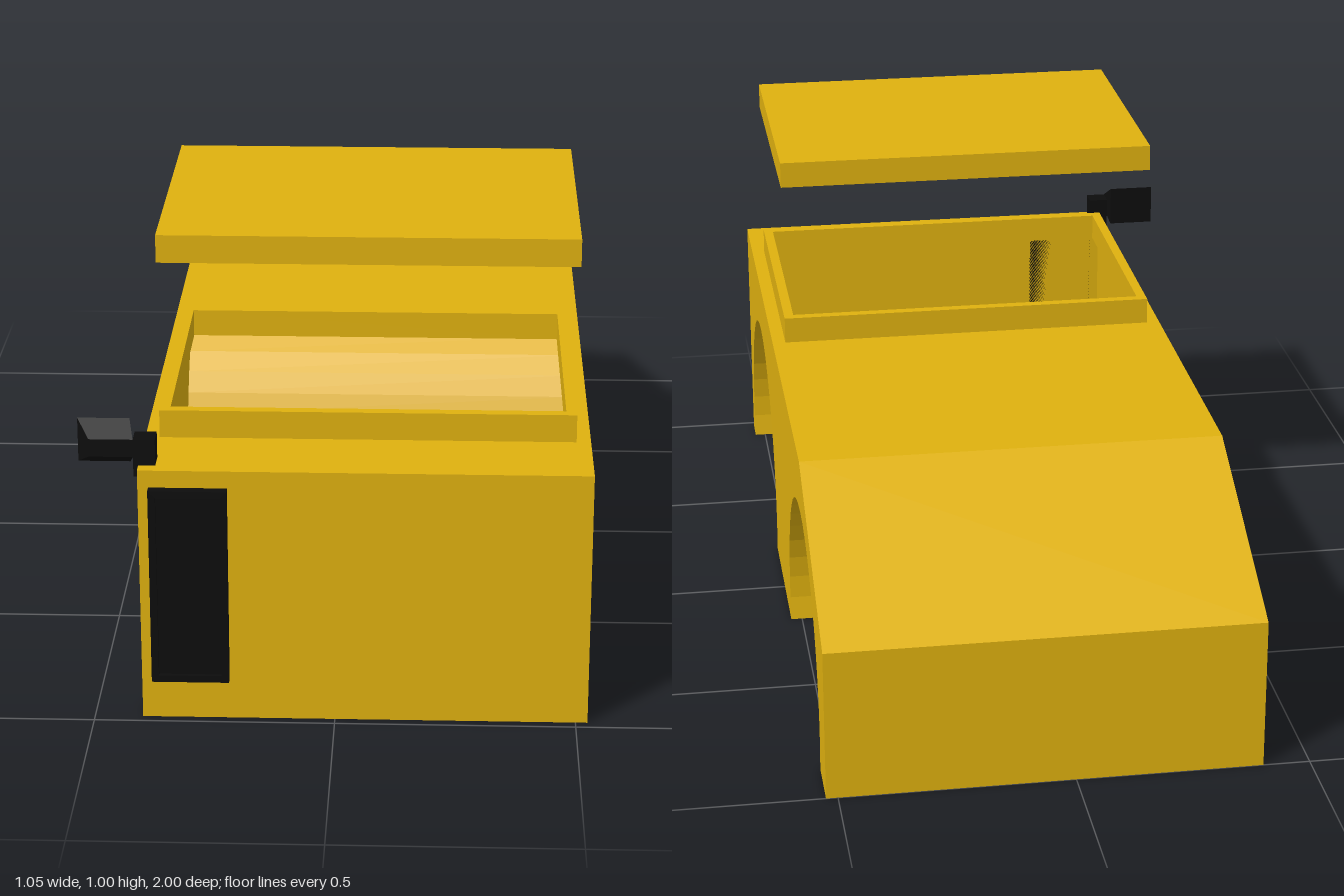
import * as THREE from 'three';

const yellow = new THREE.MeshStandardMaterial({ color: 0xdfb10f, side: THREE.DoubleSide });
yellow.name = 'yellow paint';
const black = new THREE.MeshStandardMaterial({ color: 0x0d0d0d });
black.name = 'black trim';

const X0 = -0.4, X1 = 0.525, DECK = 0.555;
const HATCH = { x0: -0.37, x1: 0.495, z0: 0.165, z1: 0.8, wall: 0.022 };

function add(parent, name, geometry, material) {
  const mesh = new THREE.Mesh(geometry, material);
  mesh.name = name;
  parent.add(mesh);
  return mesh;
}

function box(x0, x1, y0, y1, z0, z1) {
  return new THREE.BoxGeometry(x1 - x0, y1 - y0, z1 - z0)
    .translate((x0 + x1) / 2, (y0 + y1) / 2, (z0 + z1) / 2);
}

function rect(Type, x0, x1, y0, y1) {
  return new Type([[x0, y0], [x1, y0], [x1, y1], [x0, y1]].map(p => new THREE.Vector2(...p)));
}

// Rectangle with a rectangular hole inset by t
function ring(x0, x1, y0, y1, t) {
  const shape = rect(THREE.Shape, x0, x1, y0, y1);
  shape.holes.push(rect(THREE.Path, x0 + t, x1 - t, y0 + t, y1 - t));
  return shape;
}

// Upright wall following the hatch outline
function hatchWall(y, height) {
  const { x0, x1, z0, z1, wall } = HATCH;
  return new THREE.ExtrudeGeometry(ring(x0, x1, -z1, -z0, wall), { depth: height, bevelEnabled: false })
    .rotateX(-Math.PI / 2).translate(0, y, 0);
}

// Wheel arch points from rear to front, as (z, y)
function arch(cz) {
  const r = 0.36, cy = 0.075, n = 24, drop = Math.asin(cy / r);
  return Array.from({ length: n + 1 }, (_, i) => {
    const a = Math.PI + drop - (i / n) * (Math.PI + 2 * drop);
    return new THREE.Vector2(cz + r * Math.cos(a), cy + r * Math.sin(a));
  });
}

// Flat strips across the body between neighbouring outline points
function skin(points, skip) {
  const pos = [];
  points.forEach((a, i) => {
    if (i === skip) return;
    const b = points[(i + 1) % points.length];
    pos.push(X1, a.y, a.x, X1, b.y, b.x, X0, b.y, b.x);
    pos.push(X1, a.y, a.x, X0, b.y, b.x, X0, a.y, a.x);
  });
  const g = new THREE.BufferGeometry();
  g.setAttribute('position', new THREE.Float32BufferAttribute(pos, 3));
  g.computeVertexNormals();
  return g;
}

export function createModel() {
  const model = new THREE.Group();
  model.name = 'hollowVehicleBody';

  // Hollow body: side panels, wrapped skin and deck with an opening
  const body = new THREE.Group();
  body.name = 'body';
  model.add(body);
  const v = (z, y) => new THREE.Vector2(z, y);
  const outline = [v(-1, 0), ...arch(-0.525), ...arch(0.565),
    v(0.98, 0), v(0.98, DECK), v(-0.53, DECK), v(-1, 0.335)];
  const side = new THREE.ShapeGeometry(new THREE.Shape(outline)).rotateY(-Math.PI / 2);
  add(body, 'rightSide', side, yellow).position.x = X0;
  add(body, 'leftSide', side, yellow).position.x = X1;
  add(body, 'skin', skin(outline, outline.length - 3), yellow);

  const { x0, x1, z0, z1, wall } = HATCH;
  const deck = rect(THREE.Shape, X0, X1, -0.98, 0.53);
  deck.holes.push(rect(THREE.Path, x0 + wall, x1 - wall, -z1 + wall, -z0 - wall));
  add(body, 'deck', new THREE.ShapeGeometry(deck).rotateX(-Math.PI / 2).translate(0, DECK, 0), yellow);
  add(body, 'hatchRim', hatchWall(DECK, 0.06), yellow);

  // Raised lid, recessed underneath
  const lid = new THREE.Group();
  lid.name = 'lid';
  model.add(lid);
  add(lid, 'lidTop', box(x0, x1, 0.965, 0.997, z0, z1), yellow);
  add(lid, 'lidRim', hatchWall(0.938, 0.027), yellow);

  // Front panel: frame around a slightly sunken plate
  const panel = new THREE.Group();
  panel.name = 'frontPanel';
  model.add(panel);
  add(panel, 'panelFrame', new THREE.ExtrudeGeometry(ring(-0.378, -0.218, 0.09, 0.518, 0.015),
    { depth: 0.02, bevelEnabled: false }).translate(0, 0, 0.98), black);
  add(panel, 'panelPlate', box(-0.363, -0.233, 0.105, 0.503, 0.98, 0.992), black);

  // Mirror: head tapering forward, on a short bracket
  const mirror = new THREE.Group();
  mirror.name = 'mirror';
  model.add(mirror);
  const head = box(-0.527, -0.42, 0.545, 0.64, 0.908, 0.953);
  const p = head.attributes.position;
  for (let i = 0; i < p.count; i++) {
    if (p.getZ(i) < 0.93) continue;
    p.setX(i, p.getX(i) < -0.47 ? -0.5 : -0.41);
    p.setY(i, p.getY(i) < 0.59 ? 0.573 : 0.611);
  }
  head.computeVertexNormals();
  add(mirror, 'mirrorHead', head, black);
  add(mirror, 'mirrorBracket', box(-0.41, -0.365, 0.555, 0.611, 0.908, 0.953), black);
  add(mirror, 'mirrorClip', box(-0.41, -0.4, 0.53, 0.56, 0.908, 0.953), black);

  return model;
}
